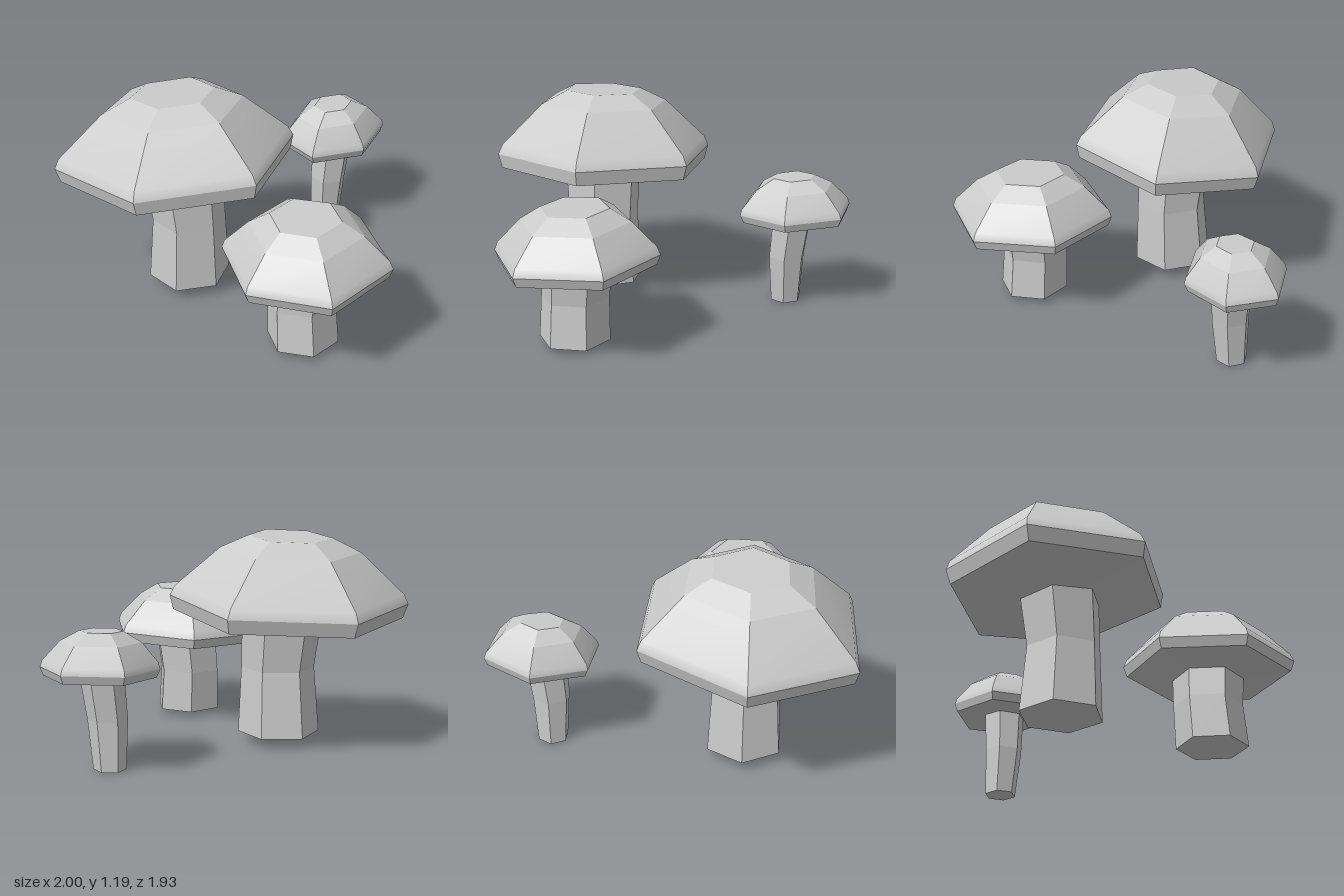
import * as THREE from 'three';

const grey = new THREE.MeshStandardMaterial({ color: 0xcccccc });

// Joins six-sided rings, listed bottom to top. Each inner list is one smooth band;
// neighbouring bands and sides keep hard edges.
function loft(bands, name) {
  const pos = [], idx = [];
  for (const rings of bands) {
    for (let i = 0; i < 6; i++) {
      const base = pos.length / 3;
      rings.forEach((ring, j) => {
        pos.push(...ring[i], ...ring[(i + 1) % 6]);
        if (j === 0) return;
        const l = base + (j - 1) * 2, u = l + 2;
        idx.push(l, u, l + 1, l + 1, u, u + 1);
      });
    }
  }
  const geo = new THREE.BufferGeometry();
  geo.setAttribute('position', new THREE.Float32BufferAttribute(pos, 3));
  geo.setIndex(idx);
  geo.computeVertexNormals();
  const mesh = new THREE.Mesh(geo, grey);
  mesh.name = name;
  return mesh;
}

// Cap: one rim outline, scaled and lifted per ring, leaning by the tilt slopes
function makeCap({ center: [cx, cy, cz], tilt: [tx, tz], outline, rings }) {
  const [under, lower, rim, bevel, shoulder, top] = rings.map(([s, dy]) =>
    outline.map(([x, z]) => [cx + x * s - tx * dy, cy + dy + (tx * x + tz * z) * s, cz + z * s - tz * dy]));
  const middle = ([s, dy]) => outline.map(() => [cx - tx * dy, cy + dy, cz - tz * dy]);
  return loft([
    [middle(rings[0]), under], [under, lower], [lower, rim],
    [rim, bevel, shoulder], [shoulder, top], [top, middle(rings[5])],
  ], 'cap');
}

// Stem: regular hexagons [x, y, z, radius] along a slightly bent line
function makeStem({ levels, yaw }) {
  const hex = ([x, y, z, r]) => Array.from({ length: 6 }, (_, i) => {
    const a = yaw + i * Math.PI / 3;
    return [x + r * Math.cos(a), y, z + r * Math.sin(a)];
  });
  const [bottom, waist, top] = levels.map(hex);
  const [x, y, z] = levels[0];
  return loft([[hex([x, y, z, 0]), bottom], [bottom, waist], [waist, top]], 'stem');
}

const mushrooms = [
  {
    name: 'largeMushroom',
    cap: {
      center: [-0.44, 0.82, -0.355], tilt: [0, 0.077],
      outline: [[0.54, 0.35], [-0.03, 0.62], [-0.56, 0.255], [-0.56, -0.39], [0.01, -0.615], [0.585, -0.245]],
      rings: [[0.38, -0.11], [0.965, -0.08], [1, 0], [0.96, 0.055], [0.585, 0.28], [0.35, 0.353]],
    },
    stem: {
      levels: [[-0.43, 0.06, -0.318, 0.228], [-0.43, 0.43, -0.305, 0.205], [-0.435, 0.74, -0.335, 0.225]],
      yaw: Math.PI / 6 + 0.05,
    },
  },
  {
    name: 'mediumMushroom',
    cap: {
      center: [-0.405, 0.523, 0.56], tilt: [0.026, 0],
      outline: [[0.45, 0], [0.225, 0.405], [-0.245, 0.405], [-0.45, 0], [-0.22, -0.405], [0.225, -0.405]],
      rings: [[0.42, -0.09], [0.955, -0.055], [1, 0], [0.96, 0.045], [0.67, 0.18], [0.42, 0.25]],
    },
    stem: {
      levels: [[-0.425, 0.03, 0.56, 0.195], [-0.422, 0.27, 0.545, 0.187], [-0.408, 0.46, 0.56, 0.195]],
      yaw: 0,
    },
  },
  {
    name: 'smallMushroom',
    cap: {
      center: [0.692, 0.55, -0.232], tilt: [0.05, -0.015],
      outline: [[0.268, 0.17], [-0.037, 0.277], [-0.302, 0.11], [-0.267, -0.16], [0.033, -0.283], [0.305, -0.108]],
      rings: [[0.4, -0.05], [0.94, -0.045], [1, 0], [0.965, 0.035], [0.68, 0.14], [0.365, 0.197]],
    },
    stem: {
      levels: [[0.65, 0, -0.245, 0.088], [0.652, 0.27, -0.23, 0.107], [0.68, 0.52, -0.22, 0.118]],
      yaw: Math.PI / 6 + 0.05,
    },
  },
];

export function createModel() {
  const model = new THREE.Group();
  model.name = 'mushroomCluster';
  for (const { name, cap, stem } of mushrooms) {
    const mushroom = new THREE.Group();
    mushroom.name = name;
    mushroom.add(makeCap(cap), makeStem(stem));
    model.add(mushroom);
  }
  return model;
}
